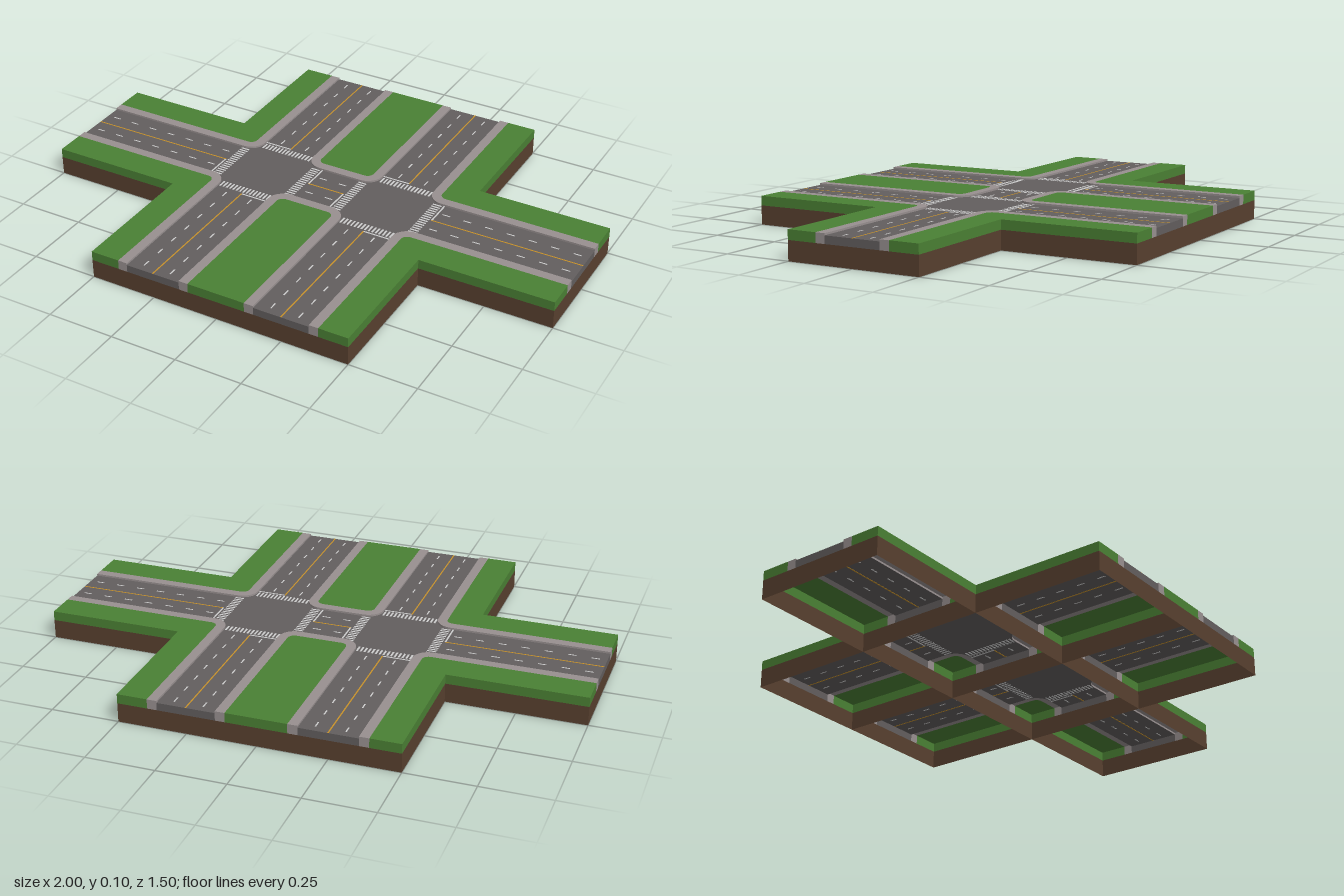
import * as THREE from 'three';
import { mergeGeometries } from 'three/addons/utils/BufferGeometryUtils.js';

const H = 0.25;                 // half a tile
const ROAD = 0.105, WALK = 0.14; // half widths: carriageway, outer edge of pavement
const SOIL_Y = 0.07, ROAD_Y = 0.098, TOP_Y = 0.105;

const material = (color) => new THREE.MeshStandardMaterial({ color, side: THREE.DoubleSide });

// Vertical strip along a line of [x, z] points
function wall(points, y0, y1) {
  const pos = [];
  for (let i = 0; i < points.length - 1; i++) {
    const [ax, az] = points[i], [bx, bz] = points[i + 1];
    pos.push(ax, y0, az, bx, y0, bz, bx, y1, bz, ax, y0, az, bx, y1, bz, ax, y1, az);
  }
  const geo = new THREE.BufferGeometry();
  geo.setAttribute('position', new THREE.Float32BufferAttribute(pos, 3));
  geo.computeVertexNormals();
  return geo;
}

// Flat area with a skirt wherever its outline runs along the tile border
function sheet(points, y) {
  const shape = new THREE.Shape(points.map(([x, z]) => new THREE.Vector2(x, -z)));
  const top = new THREE.ShapeGeometry(shape).toNonIndexed();
  top.rotateX(-Math.PI / 2).translate(0, y, 0);
  top.deleteAttribute('uv');
  const parts = [top];
  points.forEach((a, i) => {
    const b = points[(i + 1) % points.length];
    const onBorder = [0, 1].some((k) => Math.abs(a[k]) === H && a[k] === b[k]);
    if (onBorder) parts.push(wall([a, b], SOIL_Y, y));
  });
  return mergeGeometries(parts);
}

// Painted bar set flush into the road
function bar(x, z, w, d) {
  return new THREE.BoxGeometry(w, 0.0012, d).translate(x, ROAD_Y, z);
}

const rect = (x0, x1, z0, z1) => [[x0, z0], [x1, z0], [x1, z1], [x0, z1]];
const turn = (points, k) => {
  let out = points;
  for (let i = 0; i < k; i++) out = out.map(([x, z]) => [z, -x]);
  return out;
};

// Rounded corner line at a given distance from the road centres
function cornerLine(offset) {
  const c = 0.165, r = c - offset, line = [[offset, H]];
  for (let i = 0; i <= 10; i++) {
    const a = Math.PI + (i / 10) * (Math.PI / 2);
    line.push([c + r * Math.cos(a), c + r * Math.sin(a)]);
  }
  line.push([H, offset]);
  return line;
}

export function createModel() {
  const model = new THREE.Group();
  model.name = 'roadCrossings';
  const mats = {
    soil: material(0x58402f), grass: material(0x4a8034), pavement: material(0x989090),
    road: material(0x625e5e), whitePaint: material(0xdcdcdc), yellowPaint: material(0xc8922a),
  };

  function tile(name, x, z, parts, angle = 0) {
    const group = new THREE.Group();
    group.name = name;
    for (const [part, list] of Object.entries(parts)) {
      const mesh = new THREE.Mesh(mergeGeometries(list), mats[part]);
      mesh.name = part;
      group.add(mesh);
    }
    group.position.set(x, 0, z);
    group.rotation.y = angle;
    model.add(group);
  }

  const border = [...rect(-H, H, -H, H), [-H, -H]];
  const soil = [wall(border, 0, SOIL_Y)];

  // Straight road tile, running along z
  const straight = {
    soil, grass: [], pavement: [],
    road: [sheet(rect(-ROAD, ROAD, -H, H), ROAD_Y)],
    whitePaint: [], yellowPaint: [bar(0, 0, 0.005, 2 * H)],
  };
  for (const s of [-1, 1]) {
    straight.grass.push(sheet(rect(s * WALK, s * H, -H, H), TOP_Y));
    straight.pavement.push(sheet(rect(s * ROAD, s * WALK, -H, H), TOP_Y));
    straight.pavement.push(wall([[s * ROAD, -H], [s * ROAD, H]], ROAD_Y, TOP_Y));
    for (let i = 0; i < 6; i++) {
      straight.whitePaint.push(bar(s * ROAD / 2, -H + (i + 0.5) * H / 3, 0.005, 0.03));
    }
  }

  // Crossing tile: four rounded corners and four painted arms
  const crossing = { soil, grass: [], pavement: [], road: [], whitePaint: [], yellowPaint: [] };
  const kerb = cornerLine(ROAD), lawn = cornerLine(WALK), roadOutline = [];
  for (let k = 0; k < 4; k++) {
    crossing.grass.push(sheet(turn([...lawn, [H, H]], k), TOP_Y));
    crossing.pavement.push(sheet(turn([...kerb, ...[...lawn].reverse()], k), TOP_Y));
    crossing.pavement.push(wall(turn(kerb, k), ROAD_Y, TOP_Y));
    roadOutline.push(...turn(kerb, k));

    const white = [bar(-ROAD / 2, -0.178, ROAD, 0.006)]; // stop line
    for (let i = -7; i <= 7; i++) white.push(bar(i * 0.014, -0.152, 0.007, 0.034));
    for (const s of [-1, 1]) white.push(bar(s * ROAD / 2, -0.21, 0.005, 0.03));
    const angle = k * Math.PI / 2;
    crossing.whitePaint.push(...white.map((g) => g.rotateY(angle)));
    crossing.yellowPaint.push(bar(0, -0.2135, 0.005, 0.073).rotateY(angle));
  }
  crossing.road.push(sheet(roadOutline, ROAD_Y));

  // Lay the tiles
  for (const s of [-1, 1]) {
    tile('crossingTile', s * H, 0, crossing);
    tile('sideRoadTile', s * 3 * H, 0, straight, Math.PI / 2);
    for (const t of [-1, 1]) tile('throughRoadTile', s * H, t * 2 * H, straight);
  }
  return model;
}
